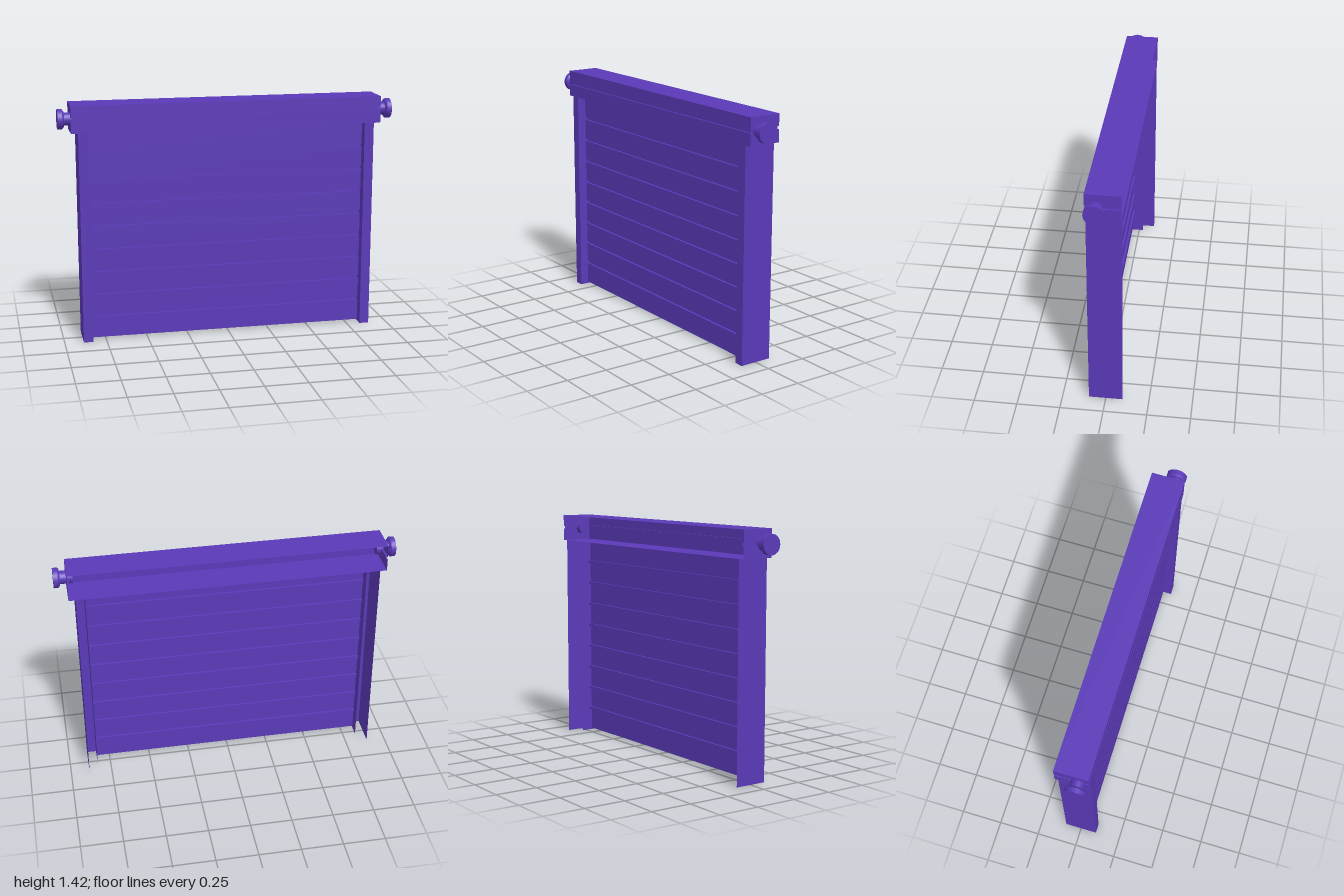
import * as THREE from 'three';

const color = 0x5a39b8;
const flat = new THREE.MeshStandardMaterial({ color, flatShading: true, side: THREE.DoubleSide });
const smooth = new THREE.MeshStandardMaterial({ color });

// Thin sheet stretched between successive rows of points
function sheet(rows) {
  const n = rows[0].length;
  const index = [];
  for (let r = 0; r < rows.length - 1; r++) {
    for (let i = 0; i < n - 1; i++) {
      const a = r * n + i, b = a + 1, c = a + n, d = c + 1;
      index.push(a, b, d, a, d, c);
    }
  }
  const g = new THREE.BufferGeometry();
  g.setAttribute('position', new THREE.Float32BufferAttribute(rows.flat(2), 3));
  g.setIndex(index);
  g.computeVertexNormals();
  return g;
}

function add(parent, name, geometry, material = flat) {
  const mesh = new THREE.Mesh(geometry, material);
  mesh.name = name;
  parent.add(mesh);
  return mesh;
}

export function createModel() {
  const model = new THREE.Group();
  model.name = 'rollerShutter';

  // Slatted curtain: flat slats joined by shallow recessed grooves
  const profile = [[0.01, 0.045]];
  for (let i = 1; i <= 8; i++) {
    const y = 0.139 * i;
    profile.push([y, 0.045], [y, 0.03], [y + 0.017, 0.03], [y + 0.017, 0.045]);
  }
  profile.push([1.262, 0.045]);
  add(model, 'slatCurtain', sheet(profile.map(([y, z]) => [[-0.83, y, z], [0.83, y, z]])));

  // Header box, open at the back, with a groove running round front and ends
  const header = new THREE.Group();
  header.name = 'header';
  model.add(header);
  const X = 0.927, Z = 0.098;
  const around = (y, inset) => [
    [X - inset, y, -Z], [X - inset, y, Z - inset], [-X + inset, y, Z - inset], [-X + inset, y, -Z],
  ];
  const levels = [[1.262, 0], [1.335, 0], [1.335, 0.012], [1.353, 0.012], [1.353, 0], [1.422, 0]];
  add(header, 'headerWalls', sheet(levels.map(([y, inset]) => around(y, inset))));
  for (const [name, y] of [['headerFloor', 1.262], ['headerTop', 1.422]]) {
    add(header, name, sheet([[[-X, y, -Z], [X, y, -Z]], [[-X, y, Z], [X, y, Z]]]));
  }

  for (const s of [1, -1]) {
    const side = s > 0 ? 'left' : 'right';

    // Guide rail: channel with a deep outer wall and a shorter inner wall
    const section = [[0.887, -Z], [0.887, Z], [0.83, Z], [0.83, -0.025]];
    add(model, side + 'GuideRail', sheet([0, 1.262].map(y => section.map(([x, z]) => [s * x, y, z]))));

    // Axle end: shaft, tapered shoulder and end disc
    const axle = new THREE.Group();
    axle.name = side + 'AxleEnd';
    axle.position.set(0, 1.34, 0.037);
    axle.rotation.z = -s * Math.PI / 2;
    model.add(axle);
    const pieces = [
      ['shaft', 0.038, 0.038, 0.89, 0.968],
      ['shoulder', 0.058, 0.046, 0.963, 0.973],
      ['endDisc', 0.058, 0.058, 0.973, 1.0],
    ];
    for (const [name, rOuter, rInner, from, to] of pieces) {
      const mesh = add(axle, name, new THREE.CylinderGeometry(rOuter, rInner, to - from, 32), smooth);
      mesh.position.y = (from + to) / 2;
    }
  }
  return model;
}
